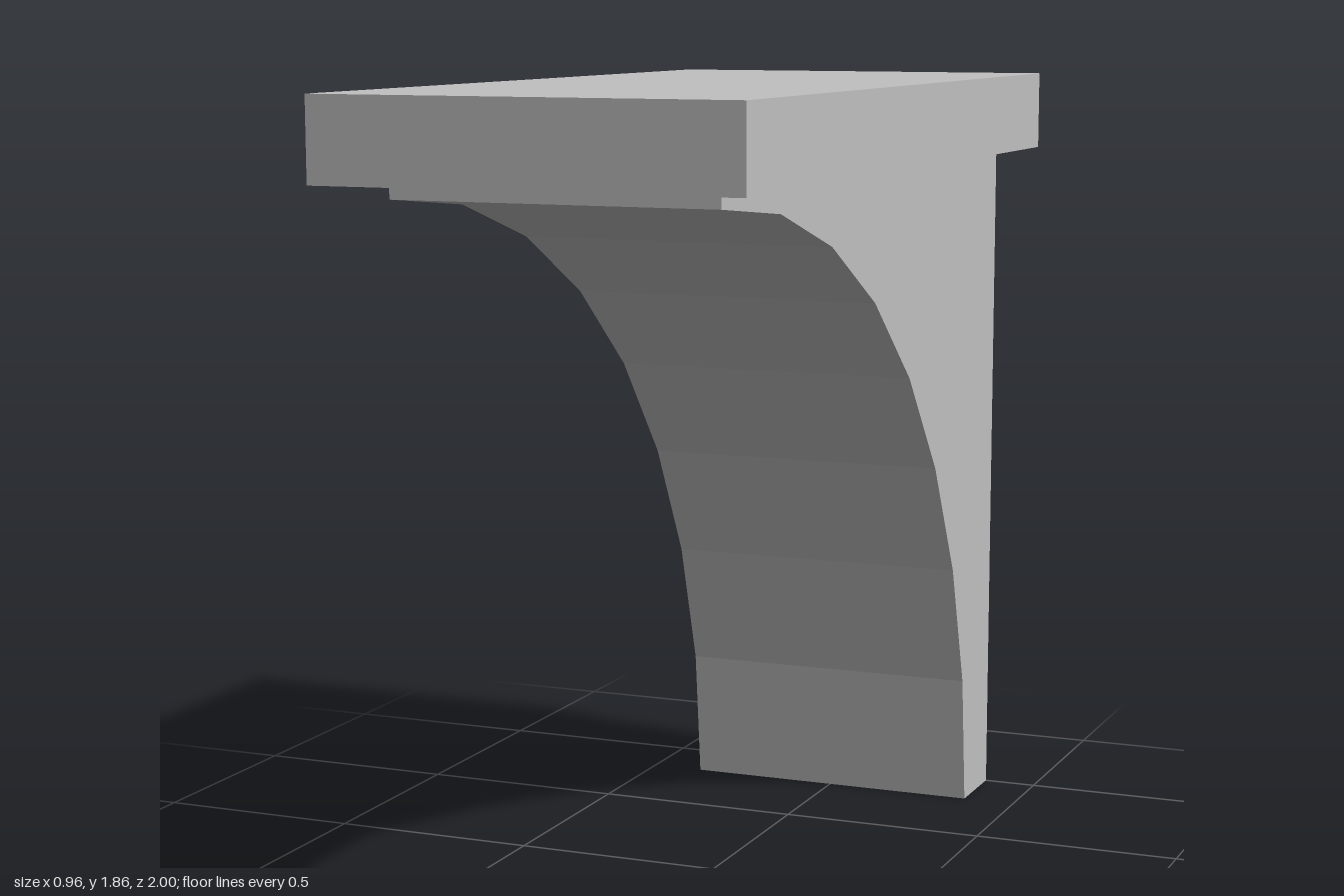
import * as THREE from 'three';

export function createModel() {
  const model = new THREE.Group();
  const stone = new THREE.MeshStandardMaterial({ color: 0xc0c0c0 });
  stone.name = 'light grey';

  const add = (name, geometry) => {
    const mesh = new THREE.Mesh(geometry, stone);
    mesh.name = name;
    model.add(mesh);
    return mesh;
  };

  // Flat shelf slab on top
  const underside = 1.67, top = 1.855;
  add('shelfSlab', new THREE.BoxGeometry(0.96, top - underside, 2))
    .position.y = (top + underside) / 2;

  // Bracket side profile (shape x is depth z) with a faceted quarter arch
  const archZ = 0.855, radiusZ = 1.665, radiusY = 1.635, segments = 8;
  const profile = new THREE.Shape();
  profile.moveTo(-1, 0);
  for (let i = 0; i <= segments; i++) {
    const a = (i / segments) * Math.PI / 2;
    profile.lineTo(archZ - radiusZ * Math.cos(a), radiusY * Math.sin(a));
  }
  profile.lineTo(archZ, underside);
  profile.lineTo(-1, underside);
  profile.closePath();

  // Extrude across the width, then turn so the profile runs front to back
  const width = 0.74;
  const bracket = new THREE.ExtrudeGeometry(profile, { depth: width, bevelEnabled: false });
  bracket.translate(0, 0, -width / 2).rotateY(-Math.PI / 2);
  add('archedBracket', bracket);

  return model;
}
